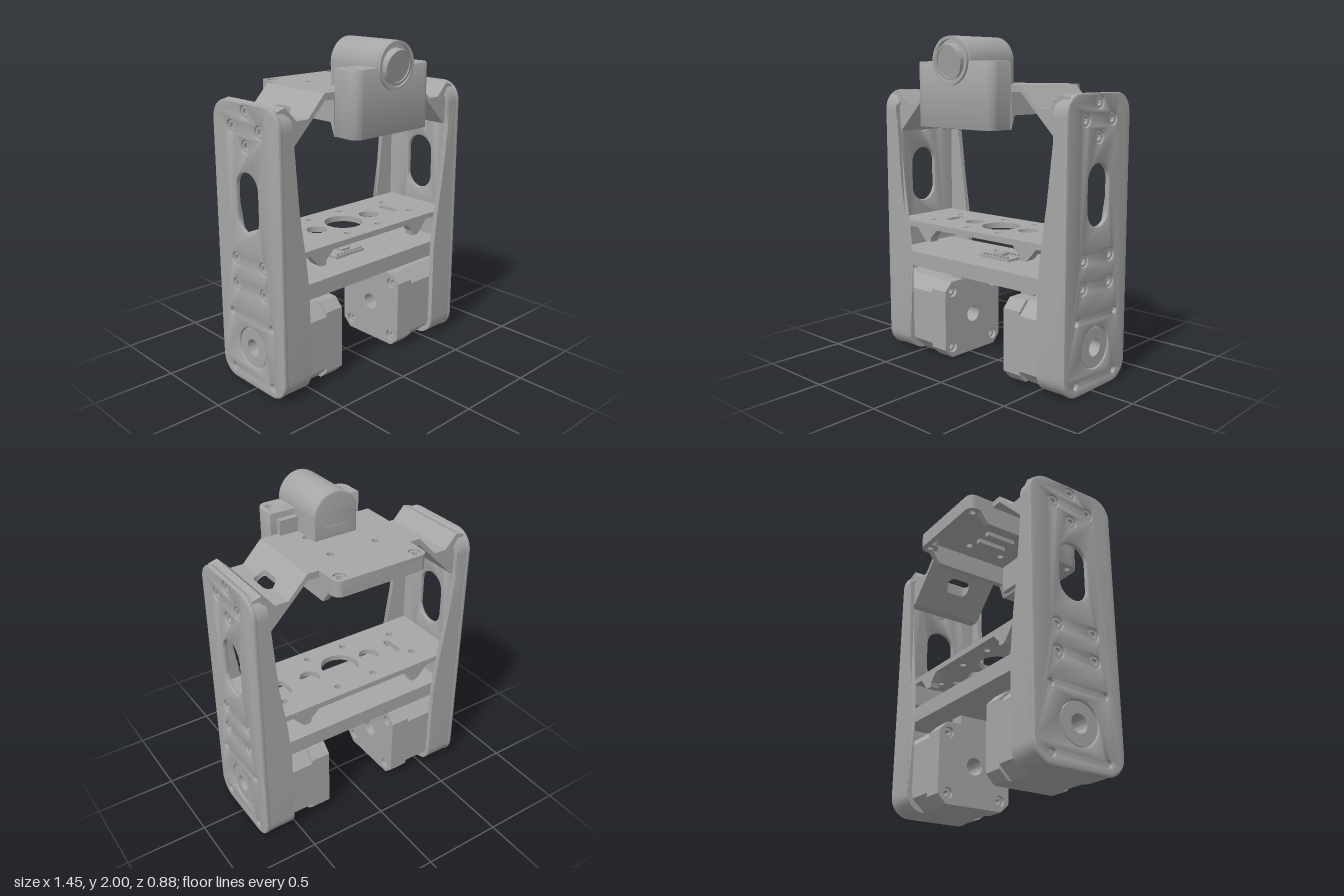
import * as THREE from 'three';
import { toCreasedNormals } from 'three/addons/utils/BufferGeometryUtils.js';

const grey = new THREE.MeshStandardMaterial({ color: 0xa6a6a6 });
grey.name = 'plain grey';
const CZ = -0.027; // depth of the frame's mid-plane

function add(group, name, geo, x = 0, y = 0, z = 0) {
  const m = new THREE.Mesh(geo, grey);
  m.name = name;
  m.position.set(x, y, z);
  group.add(m);
  return m;
}
const box = (w, h, d) => new THREE.BoxGeometry(w, h, d);
const crease = (g) => toCreasedNormals(g, 0.6);
const poly = (pts) => new THREE.Shape(pts.map(([a, b]) => new THREE.Vector2(a, b)));
const extrude = (shape, depth, opts = {}) =>
  crease(new THREE.ExtrudeGeometry(shape, { depth, bevelEnabled: false, curveSegments: 16, ...opts }));
const alongX = (shape, depth, opts) => extrude(shape, depth, opts).rotateY(Math.PI / 2); // shape is (-z, y)
const alongY = (shape, depth, opts) => extrude(shape, depth, opts).rotateX(-Math.PI / 2); // shape is (x, -z)

function punch(shape, x, y, r) {
  shape.holes.push(new THREE.Path().absarc(x, y, r, 0, Math.PI * 2, true));
  return shape;
}
function disc(r, hole) {
  const s = new THREE.Shape().absarc(0, 0, r, 0, Math.PI * 2, false);
  return hole ? punch(s, 0, 0, hole) : s;
}
// upright stadium slot
function slot(shape, x, y, r, half) {
  const p = new THREE.Path();
  p.absarc(x, y + half - r, r, 0, Math.PI, false);
  p.absarc(x, y - half + r, r, Math.PI, Math.PI * 2, false);
  p.closePath();
  shape.holes.push(p);
}
// rounded rectangle outline, with extra points at given heights along the sides
function roundedPoints(w, y0, y1, r, levels = []) {
  const pts = [];
  const arc = (cx, cy, a0) => {
    for (let i = 0; i <= 8; i++) {
      const a = a0 + (i / 8) * Math.PI / 2;
      pts.push([cx + r * Math.cos(a), cy + r * Math.sin(a)]);
    }
  };
  arc(w - r, y0 + r, -Math.PI / 2);
  levels.forEach((y) => pts.push([w, y]));
  arc(w - r, y1 - r, 0);
  arc(-w + r, y1 - r, Math.PI / 2);
  [...levels].reverse().forEach((y) => pts.push([-w, y]));
  arc(-w + r, y0 + r, Math.PI);
  return pts;
}
// piecewise linear lookup
function lookup(table, v) {
  for (let i = 1; i < table.length; i++) {
    const [a, fa] = table[i - 1], [b, fb] = table[i];
    if (v <= b) return fa + (fb - fa) * Math.max(0, (v - a) / (b - a));
  }
  return table[table.length - 1][1];
}
const octagon = (h, c) => poly([[-h, -h + c], [-h + c, -h], [h - c, -h], [h, -h + c],
  [h, h - c], [h - c, h], [-h + c, h], [-h, h - c]]);

const SCREWS = [[0, 1.64], [0.124, 1.545], [-0.124, 1.545], [0, 1.45],
  [0.124, 0.775], [-0.124, 0.775], [0.124, 0.615], [-0.124, 0.615]];
const CORNERS = [[1, 1], [1, -1], [-1, 1], [-1, -1]];

// outer plate with its inward rim
function sidePanel(side) {
  const plate = poly(roundedPoints(0.2925, 0, 1.69, 0.12));
  slot(plate, 0, 1.128, 0.097, 0.177);
  punch(plate, 0, 0.25, 0.125);
  SCREWS.forEach(([u, y]) => punch(plate, u, y, 0.037));
  CORNERS.forEach(([a, b]) => punch(plate, a * 0.182, 0.25 + b * 0.182, 0.02));
  add(side, 'sidePlate', alongX(plate, 0.012,
    { bevelEnabled: true, bevelThickness: 0.009, bevelSize: 0.009, bevelOffset: -0.009, bevelSegments: 2 }), 0.706);

  const levels = [0.62, 0.85, 1.1, 1.42, 1.56];
  const rim = poly(roundedPoints(0.29, 0.003, 1.687, 0.12, levels));
  rim.holes.push(new THREE.Path(roundedPoints(0.258, 0.035, 1.655, 0.088, levels)
    .map(([a, b]) => new THREE.Vector2(a, b)).reverse()));
  const depth = [[0, 0.185], [0.62, 0.185], [0.85, 0.16], [1.1, 0.122], [1.42, 0.085], [1.63, 0.085], [1.69, 0.01]];
  const g = new THREE.ExtrudeGeometry(rim, { depth: 1, bevelEnabled: false }).rotateY(Math.PI / 2);
  const p = g.attributes.position;
  for (let i = 0; i < p.count; i++) p.setX(i, 0.715 - (1 - p.getX(i)) * lookup(depth, p.getY(i)));
  add(side, 'sideRim', crease(g));

  SCREWS.forEach(([u, y]) => add(side, 'screw', alongX(disc(0.035, 0.02), 0.018), 0.7, y, -u));
}

// stepper motor with a bore, end cap, hub and plug
function motor(side) {
  const body = punch(octagon(0.247, 0.08), 0, 0, 0.053);
  add(side, 'motorBody', alongX(body, 0.335), 0.368, 0.25);
  const cap = punch(octagon(0.247, 0.055), 0, 0, 0.053);
  CORNERS.forEach(([a, b]) => punch(cap, a * 0.182, b * 0.182, 0.034));
  add(side, 'motorCap', alongX(cap, 0.123), 0.245, 0.25);
  CORNERS.forEach(([a, b]) =>
    add(side, 'motorScrew', alongX(disc(0.032, 0.016), 0.08), 0.265, 0.25 + a * 0.182, b * 0.182));
  add(side, 'motorHub', alongX(disc(0.12, 0.053), 0.02), 0.7, 0.25);
  add(side, 'motorPlug', box(0.095, 0.065, 0.2), 0.2975, 0.522);
}

// sloping wing that joins the top plate to a side panel
function bracketWing(side) {
  const top = [[0.37, 1.73], [0.49, 1.605], [0.57, 1.605], [0.645, 1.685], [0.7, 1.67]];
  const bottom = [[0.37, 1.69], [0.63, 1.43], [0.7, 1.43]];
  const stops = [0.37, 0.49, 0.57, 0.63, 0.645, 0.7];
  const W = 0.249, R = 0.037, H = 0.083;
  for (let i = 0; i < stops.length - 1; i++) {
    const a = stops[i], b = stops[i + 1];
    const s = new THREE.Shape();
    s.moveTo(a, -W).lineTo(b, -W);
    if (i === 0) { // one half of the slot
      s.lineTo(b, -H).absarc(b, -H + R, R, -Math.PI / 2, -Math.PI, true);
      s.absarc(b, H - R, R, Math.PI, Math.PI / 2, true);
    }
    s.lineTo(b, W).lineTo(a, W);
    if (i === 1) { // the other half
      s.lineTo(a, H).absarc(a, H - R, R, Math.PI / 2, 0, true);
      s.absarc(a, -H + R, R, 0, -Math.PI / 2, true);
    }
    s.closePath();
    const g = new THREE.ExtrudeGeometry(s, { depth: 1, bevelEnabled: false }).rotateX(-Math.PI / 2);
    const p = g.attributes.position;
    for (let k = 0; k < p.count; k++) {
      const lo = lookup(bottom, p.getX(k)), hi = lookup(top, p.getX(k));
      p.setY(k, lo + p.getY(k) * (hi - lo));
    }
    add(side, 'bracketWing', crease(g));
  }
}

function topPlate(root) {
  const s = new THREE.Shape();
  s.moveTo(-0.37, -0.222).lineTo(0.37, -0.222).lineTo(0.37, 0.276).lineTo(0.3, 0.276);
  s.lineTo(0.3, 0.39).absarc(0.25, 0.39, 0.05, 0, Math.PI / 2, false);
  s.lineTo(-0.25, 0.44).absarc(-0.25, 0.39, 0.05, Math.PI / 2, Math.PI, false);
  s.lineTo(-0.3, 0.276).lineTo(-0.37, 0.276).closePath();
  [-1, 1].forEach((d) => {
    punch(s, d * 0.245, 0.385, 0.036);
    punch(s, d * 0.15, 0.155, 0.021);
    punch(s, d * 0.15, -0.09, 0.021);
  });
  add(root, 'topPlate', alongY(s, 0.04), 0, 1.69);
  // walls hanging below the plate
  const wall = poly([[-0.22, 1.48], [-0.19, 1.56], [0.31, 1.56], [0.365, 1.635], [0.39, 1.635], [0.39, 1.7], [-0.22, 1.7]]);
  [-1, 1].forEach((d) => {
    add(root, 'plateWall', alongX(wall, 0.04), d * 0.28 - 0.02);
    add(root, 'tabBoss', alongY(disc(0.05, 0.02), 0.08), d * 0.25, 1.635, -0.39);
    add(root, 'tabScrew', alongY(disc(0.034, 0.02), 0.03), d * 0.245, 1.69, -0.385);
    add(root, 'plateRail', box(0.03, 0.03, 0.2), d * 0.05, 1.677, -0.05);
  });
  add(root, 'rearLip', box(0.5, 0.06, 0.035), 0, 1.665, -0.4225);
}

// front sensor block with arched housing and lens
function head(root) {
  const s = new THREE.Shape();
  s.moveTo(-0.3, -0.225).lineTo(-0.3, -0.33).absarc(-0.24, -0.33, 0.06, Math.PI, Math.PI * 1.5, false);
  s.lineTo(0.24, -0.39).absarc(0.24, -0.33, 0.06, -Math.PI / 2, 0, false);
  s.lineTo(0.3, -0.225).closePath();
  [-1, 1].forEach((d) => punch(s, d * 0.245, -0.33, 0.02));
  add(root, 'frontBlock', alongY(s, 0.364,
    { bevelEnabled: true, bevelThickness: 0.008, bevelSize: 0.008, bevelOffset: -0.008, bevelSegments: 2 }), 0, 1.488);
  add(root, 'blockBack', box(0.52, 0.32, 0.04), 0, 1.66, 0.21);

  const arch = new THREE.Shape();
  arch.moveTo(-0.142, 1.725).lineTo(0.142, 1.725).lineTo(0.142, 1.858);
  arch.absarc(0, 1.858, 0.142, 0, Math.PI, false).closePath();
  add(root, 'housing', extrude(arch, 0.356,
    { bevelEnabled: true, bevelThickness: 0.008, bevelSize: 0.008, bevelOffset: -0.008, curveSegments: 32 }), 0, 0, 0.024);
  add(root, 'rearPort', box(0.14, 0.05, 0.02), 0, 1.775, 0.022);
  add(root, 'housingRim', extrude(disc(0.136, 0.118), 0.02, { curveSegments: 32 }), 0, 1.862, 0.385);
  const lens = new THREE.Group();
  lens.name = 'lens';
  lens.position.set(0, 1.86, 0.37);
  lens.rotation.x = 0.17;
  add(lens, 'lensRing', extrude(disc(0.1, 0.085), 0.05, { curveSegments: 32 }));
  add(lens, 'lensGlass', crease(new THREE.CylinderGeometry(0.085, 0.085, 0.04, 32).rotateX(Math.PI / 2)), 0, 0, 0.022);
  root.add(lens);
}

function shelves(root) {
  const s = poly([[-0.7, -0.249], [0.7, -0.249], [0.7, 0.249], [-0.7, 0.249]]);
  punch(s, 0, 0, 0.118);
  [-1, 1].forEach((d) => {
    punch(s, d * 0.22, 0, 0.062);
    slot(s, d * 0.4, 0, 0.025, 0.07);
    [-1, 1].forEach((e) => {
      punch(s, d * 0.13, e * 0.17, 0.02);
      punch(s, d * 0.47, e * 0.12, 0.02);
    });
    // stiffening ribs and end blocks under the shelf
    const rib = poly([[0.49, 0.827], [0.43, 0.76], [0.41, 0.745], [0.37, 0.745], [0.365, 0.775], [0.31, 0.827]]
      .map(([x, y]) => [d * x, y]));
    [-0.249, 0.189].forEach((z) => add(root, 'shelfRib', extrude(rib, 0.06), 0, 0, CZ + z));
    add(root, 'shelfMount', box(0.12, 0.14, 0.49), d * 0.64, 0.765, CZ);
  });
  add(root, 'upperShelf', alongY(s, 0.035), 0, 0.825, CZ);
  add(root, 'lowerShelf', box(1.4, 0.095, 0.498), 0, 0.6125, CZ);
  // small circuit board
  add(root, 'circuitBoard', box(0.24, 0.016, 0.13), 0, 0.668, CZ);
  for (let i = 0; i < 8; i++) {
    [-1, 1].forEach((e) => add(root, 'boardPin', box(0.016, 0.014, 0.016), -0.095 + i * 0.027, 0.682, CZ + e * 0.05));
  }
  add(root, 'boardChip', box(0.07, 0.02, 0.05), 0, 0.684, CZ);
}

export function createModel() {
  const root = new THREE.Group();
  root.name = 'robotFrame';
  [0, Math.PI].forEach((turn, i) => {
    const side = new THREE.Group();
    side.name = i ? 'rightSide' : 'leftSide';
    side.position.z = CZ;
    side.rotation.y = turn;
    sidePanel(side);
    motor(side);
    bracketWing(side);
    root.add(side);
  });
  topPlate(root);
  head(root);
  shelves(root);
  return root;
}
